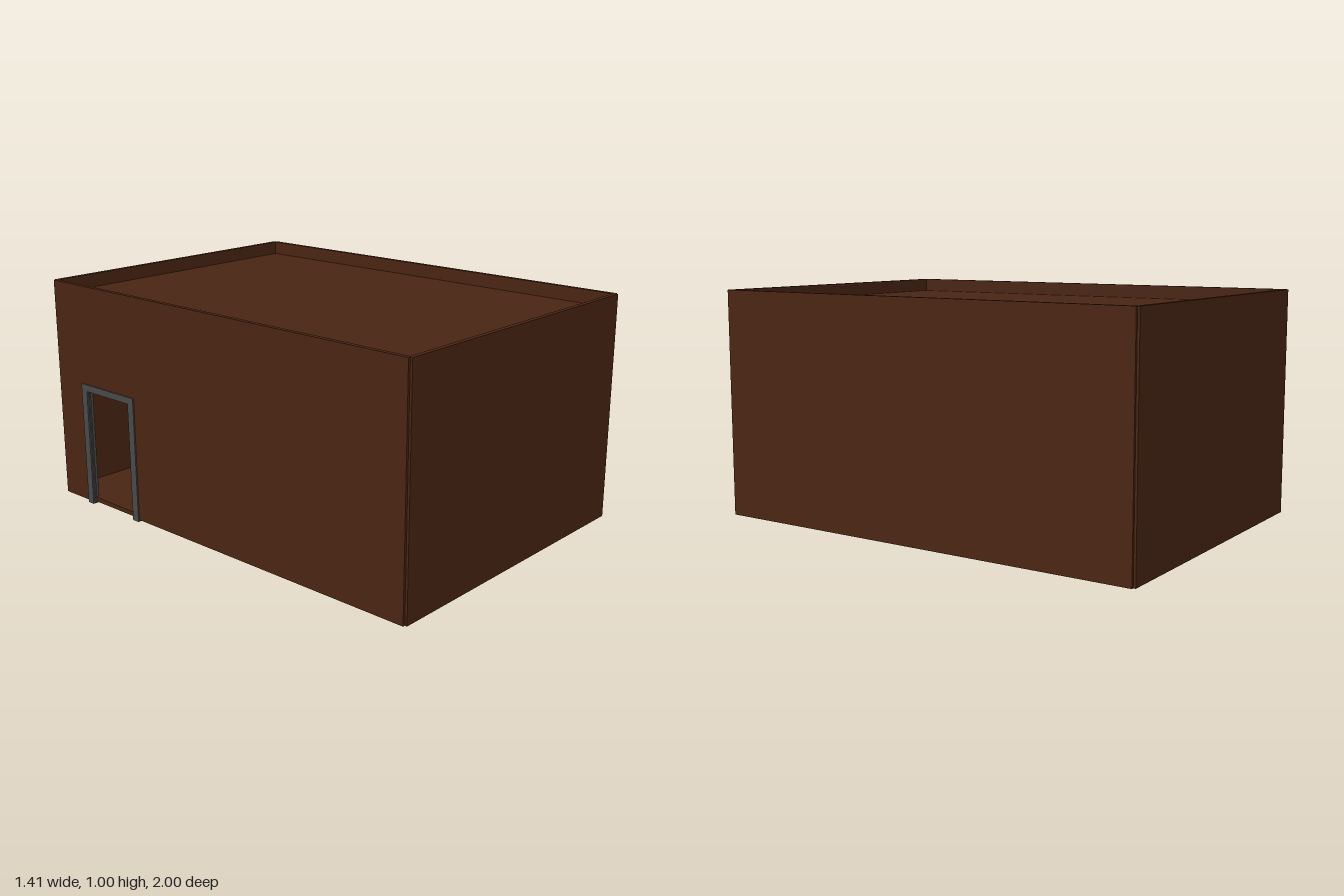
import * as THREE from 'three';

const brown = new THREE.MeshStandardMaterial({ color: 0x4a2513 });
const grey = new THREE.MeshStandardMaterial({ color: 0x4a4a4a });

const BASE = 0.008, TOP = 1, T = 0.02; // wall bottom, wall top, wall thickness

// Box given by its minimum and maximum corners
function box(parent, name, material, [x0, y0, z0], [x1, y1, z1]) {
  const mesh = new THREE.Mesh(new THREE.BoxGeometry(x1 - x0, y1 - y0, z1 - z0), material);
  mesh.position.set((x0 + x1) / 2, (y0 + y1) / 2, (z0 + z1) / 2);
  mesh.name = name;
  parent.add(mesh);
  return mesh;
}

export function createModel() {
  const model = new THREE.Group();
  model.name = 'building';

  // Plain walls, leaving small notches at the corners
  box(model, 'frontWall', brown, [-0.69, BASE, 1 - T], [0.69, TOP, 1]);
  box(model, 'backWall', brown, [-0.69, BASE, -1], [0.69, TOP, -1 + T]);
  box(model, 'leftWall', brown, [0.7 - T, BASE, -0.99], [0.7, TOP, 0.99]);

  // Wall with the doorway: outline drawn in (-z, y), then turned to face -x
  const outline = new THREE.Shape();
  [[-0.99, BASE], [0.48, BASE], [0.48, 0.55], [0.82, 0.55], [0.82, BASE],
    [0.99, BASE], [0.99, TOP], [-0.99, TOP]]
    .forEach(([u, y], i) => (i ? outline.lineTo(u, y) : outline.moveTo(u, y)));
  const doorWall = new THREE.Mesh(
    new THREE.ExtrudeGeometry(outline, { depth: T, bevelEnabled: false }), brown);
  doorWall.rotation.y = Math.PI / 2;
  doorWall.position.x = -0.7;
  doorWall.name = 'doorWall';
  model.add(doorWall);

  // Floor slab and sunken flat roof
  box(model, 'floor', brown, [-0.69, BASE, -0.99], [0.69, BASE + T, 0.99]);
  box(model, 'roof', brown, [-0.69, 0.92, -0.99], [0.69, 0.94, 0.99]);

  // Door frame: two jambs, a lintel and thin stops
  const frame = new THREE.Group();
  frame.name = 'doorFrame';
  model.add(frame);
  box(frame, 'backJamb', grey, [-0.706, 0, -0.826], [-0.674, 0.56, -0.79]);
  box(frame, 'frontJamb', grey, [-0.706, 0, -0.51], [-0.674, 0.56, -0.474]);
  box(frame, 'lintel', grey, [-0.706, 0.53, -0.79], [-0.674, 0.56, -0.51]);
  box(frame, 'backStop', grey, [-0.698, 0.008, -0.79], [-0.69, 0.53, -0.784]);
  box(frame, 'frontStop', grey, [-0.698, 0.008, -0.516], [-0.69, 0.53, -0.51]);

  // Door leaf swung inwards on the front jamb
  const hinge = new THREE.Group();
  hinge.name = 'door';
  hinge.position.set(-0.69, 0, -0.5);
  hinge.rotation.y = -Math.atan2(0.085, 0.295);
  box(hinge, 'doorLeaf', grey, [0, 0.002, -0.005], [0.307, 0.53, 0.005]);
  model.add(hinge);

  return model;
}
